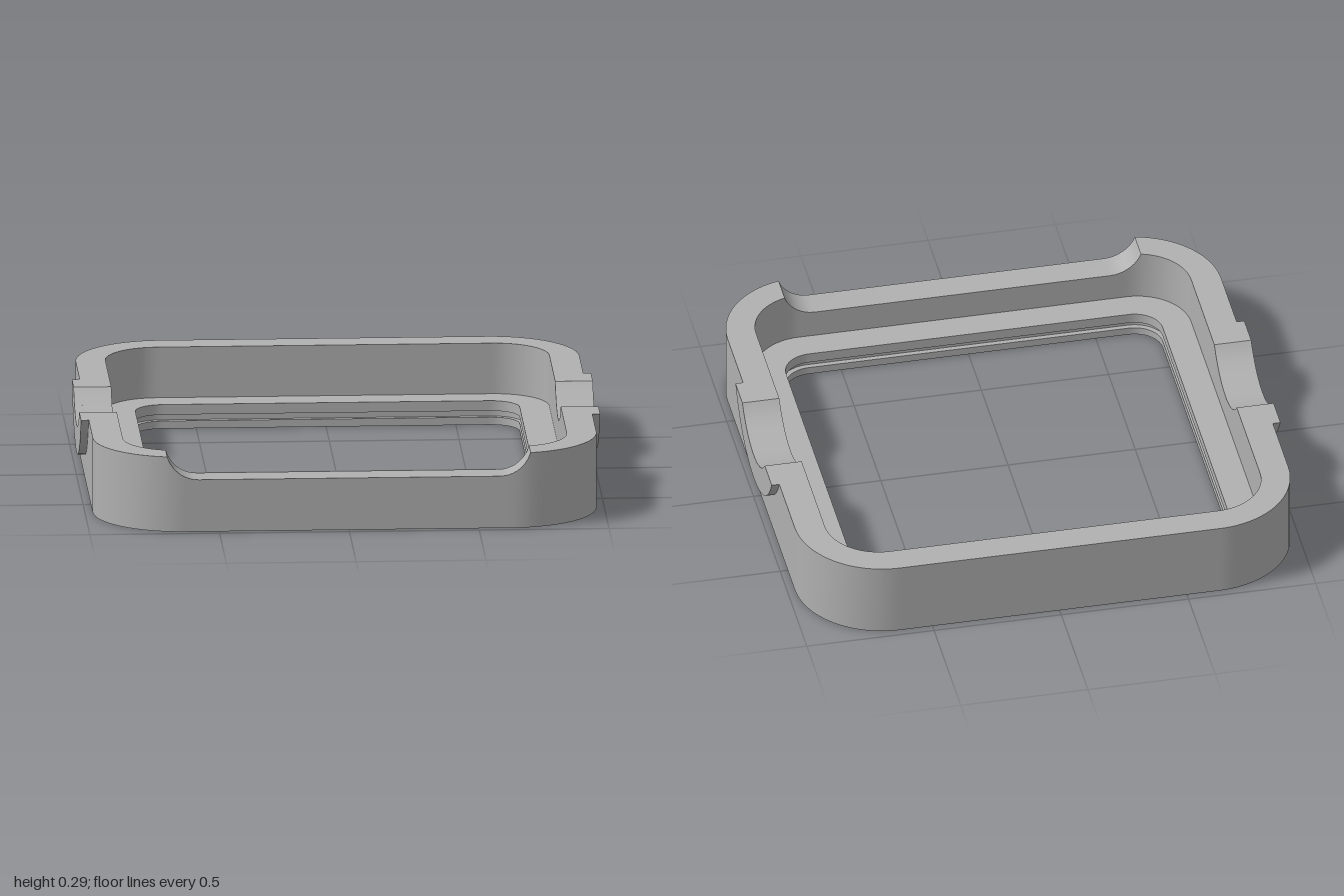
import * as THREE from 'three';
import { toCreasedNormals } from 'three/addons/utils/BufferGeometryUtils.js';

const TOP = 0.295;                                  // rim height
const ARC_Y = 0.474, ARC_IN = 0.276, ARC_OUT = 0.384; // side notch and collar circles
const NOTCH_Z = Math.sqrt(ARC_IN ** 2 - (ARC_Y - TOP) ** 2);
const CUT_X = 0.7, CUT_FLAT = 0.58, CUT_R = 0.125, CUT_Y = 0.205; // front cutout

// One quarter of a rounded square, from the front centre to the side centre
function quarter(half, r) {
  const c = half - r, pts = [];
  const edge = (x) => (x <= c ? half : c + Math.sqrt(r * r - (x - c) ** 2));
  for (const x of [0, 0.3, CUT_FLAT, 0.6, 0.615, 0.63, 0.645, 0.66, 0.675, 0.69, CUT_X]) pts.push([x, edge(x)]);
  const a0 = Math.asin((CUT_X - c) / r);
  for (let i = 1; i <= 14; i++) {
    const a = a0 + (Math.PI / 2 - a0) * i / 14;
    pts.push([c + r * Math.sin(a), c + r * Math.cos(a)]);
  }
  const t = Math.asin(NOTCH_Z / ARC_IN);
  for (let i = 12; i >= 0; i--) pts.push([half, ARC_IN * Math.sin(t * i / 12)]);
  return pts;
}

// Full closed ring by mirroring the quarter
function ring(half, r) {
  const q = quarter(half, r);
  const back = q.slice(0, -1).reverse().map(([x, z]) => [x, -z]);
  const right = [...q, ...back];
  const left = right.slice(1, -1).reverse().map(([x, z]) => [-x, z]);
  return [...right, ...left];
}

// Rim height, lowered by the front cutout and the two side notches
function rimHeight(x, z) {
  const ax = Math.abs(x), az = Math.abs(z);
  if (z > 0.5 && ax < CUT_X) {
    return ax <= CUT_FLAT ? CUT_Y
      : Math.min(TOP, CUT_Y + CUT_R - Math.sqrt(CUT_R ** 2 - (ax - CUT_FLAT) ** 2));
  }
  if (az < NOTCH_Z) return Math.min(TOP, ARC_Y - Math.sqrt(ARC_IN ** 2 - z * z));
  return TOP;
}

function frameGeometry() {
  // Cross-section: [half width, corner radius, y]; null follows the rim
  const profile = [
    [0.97, 0.34, 0], [0.97, 0.34, null], [0.855, 0.21, null], [0.855, 0.21, 0.095],
    [0.74, 0.11, 0.095], [0.74, 0.11, 0.055], [0.76, 0.13, 0.055], [0.76, 0.13, 0.03],
    [0.74, 0.11, 0.03], [0.74, 0.11, 0],
  ];
  const loops = profile.map(([half, r, y]) =>
    ring(half, r).map(([x, z]) => [x, y === null ? rimHeight(x, z) : y, z]));
  const n = loops[0].length, pos = [];
  loops.forEach((a, p) => {
    const b = loops[(p + 1) % loops.length];
    for (let s = 0; s < n; s++) {
      const e = (s + 1) % n;
      pos.push(...a[s], ...a[e], ...b[e], ...a[s], ...b[e], ...b[s]);
    }
  });
  const g = new THREE.BufferGeometry();
  g.setAttribute('position', new THREE.Float32BufferAttribute(pos, 3));
  return toCreasedNormals(g, 0.5);
}

// Crescent collar around a side notch
function collarGeometry() {
  const start = (r) => -Math.PI + Math.asin((ARC_Y - TOP) / r);
  const end = (r) => -Math.asin((ARC_Y - TOP) / r);
  const s = new THREE.Shape();
  s.absarc(0, ARC_Y, ARC_OUT, start(ARC_OUT), end(ARC_OUT), false);
  s.absarc(0, ARC_Y, ARC_IN, end(ARC_IN), start(ARC_IN), true);
  s.closePath();
  const g = new THREE.ExtrudeGeometry(s, { depth: 0.03, bevelEnabled: false, curveSegments: 24 });
  g.rotateY(Math.PI / 2);
  return toCreasedNormals(g, 0.5);
}

export function createModel() {
  const grey = new THREE.MeshStandardMaterial({ color: 0xb0b0b0 });
  grey.name = 'grey';
  const model = new THREE.Group();
  model.name = 'squareFrame';

  const frame = new THREE.Mesh(frameGeometry(), grey);
  frame.name = 'frame';
  model.add(frame);

  const collar = collarGeometry();
  for (const [name, x] of [['leftCollar', 0.97], ['rightCollar', -1]]) {
    const m = new THREE.Mesh(collar, grey);
    m.name = name;
    m.position.x = x;
    model.add(m);
  }
  return model;
}
